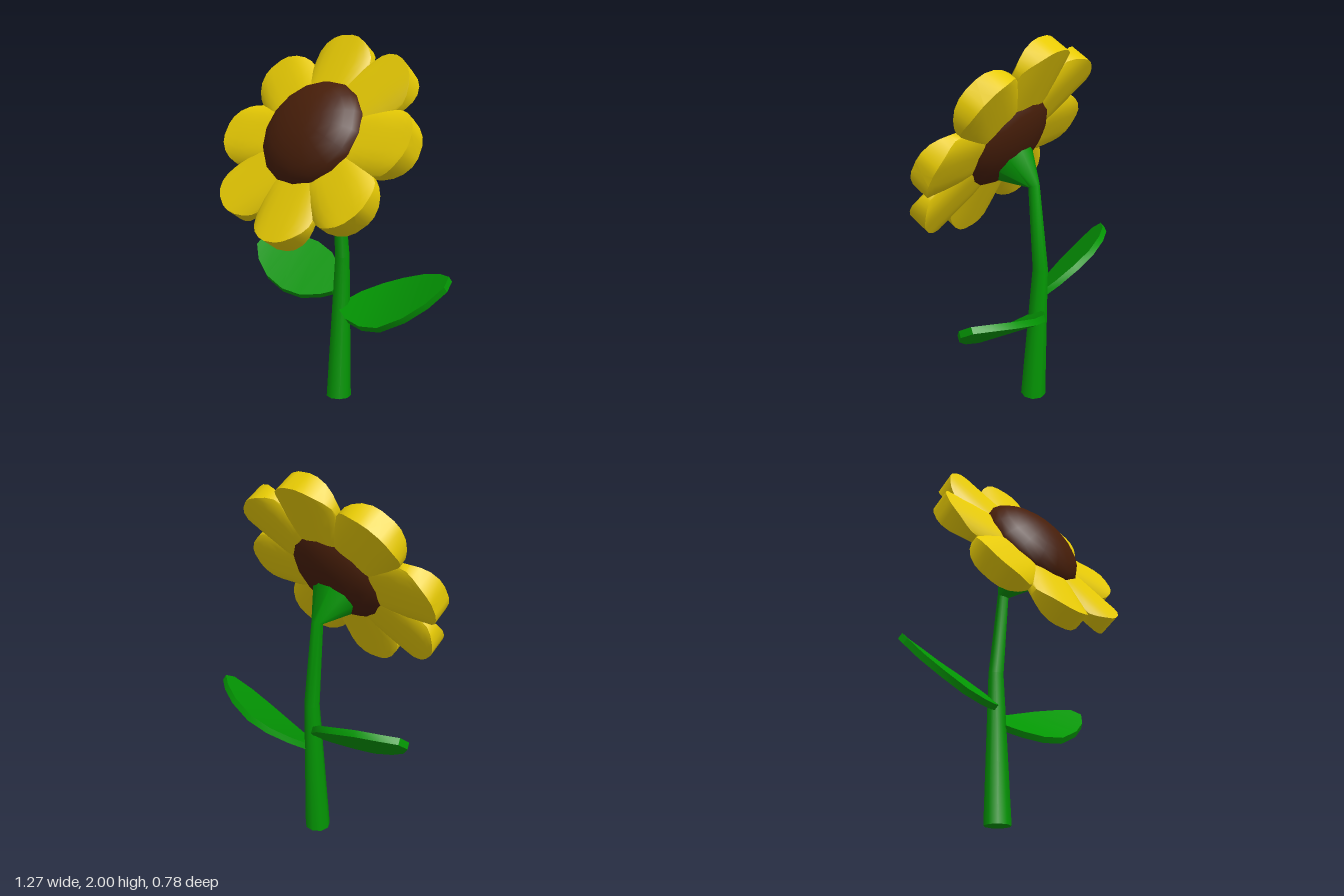
import * as THREE from 'three';
import { toCreasedNormals } from 'three/addons/utils/BufferGeometryUtils.js';

const V = (x, y, z) => new THREE.Vector3(x, y, z);

const material = (name, color) => {
  const m = new THREE.MeshStandardMaterial({ color });
  m.name = name;
  return m;
};

// Skin a closed solid over rings that run counter-clockwise around the direction of travel
function loft(rings, crease) {
  const out = [];
  const tri = (...pts) => pts.forEach((p) => out.push(p.x, p.y, p.z));
  const n = rings[0].length;
  const centre = (ring) => ring.reduce((s, p) => s.add(p), V(0, 0, 0)).divideScalar(n);
  const first = rings[0], last = rings[rings.length - 1];
  const c0 = centre(first), c1 = centre(last);
  for (let i = 0; i < n; i++) {
    const j = (i + 1) % n;
    for (let k = 0; k < rings.length - 1; k++) {
      const a = rings[k], b = rings[k + 1];
      tri(a[i], a[j], b[j]);
      tri(a[i], b[j], b[i]);
    }
    tri(c0, first[j], first[i]);
    tri(c1, last[i], last[j]);
  }
  const g = new THREE.BufferGeometry();
  g.setAttribute('position', new THREE.Float32BufferAttribute(out, 3));
  return toCreasedNormals(g, crease);
}

// Tapered stem that bends forward and flares into the flower base
function stemGeometry() {
  // y, z, radius, forward tilt
  const sections = [
    [0, -0.175, 0.07, 0], [0.8, -0.206, 0.041, 0.03],
    [1.25, -0.158, 0.031, 0.4], [1.35, -0.04, 0.125, 1.05],
  ];
  const sides = 9;
  return loft(sections.map(([y, z, r, tilt]) => Array.from({ length: sides }, (_, i) => {
    const a = (i / sides) * Math.PI * 2;
    return V(Math.sin(a) * r, 0, Math.cos(a) * r)
      .applyAxisAngle(V(1, 0, 0), tilt).add(V(-0.022, y, z));
  })), 0.9);
}

// Petal pointing along +y: a thick pad whose sides round off, with a blunt curved tip
function petalGeometry() {
  // distance from flower centre, half width
  const sections = [
    [0.16, 0.07], [0.3, 0.127], [0.38, 0.164], [0.435, 0.183], [0.48, 0.178],
    [0.52, 0.159], [0.557, 0.125], [0.586, 0.08], [0.599, 0.035],
  ];
  const steps = 10;
  return loft(sections.map(([r, w]) => {
    const front = [], back = [];
    for (let i = 0; i <= steps; i++) {
      const x = w * Math.sin((i / steps - 0.5) * Math.PI);
      const z = 0.058 * (1 - 0.75 * (x / 0.185) ** 4);
      front.push(V(x, r, z));
      back.unshift(V(x, r, -z));
    }
    return [...front, ...back];
  }), 0.9);
}

// Thin leaf: centreline points with half widths, spread along the direction "across"
function leafGeometry(sections, across) {
  const [x0, y0, z0] = sections[0];
  const [x1, y1, z1] = sections[sections.length - 1];
  const along = V(x1 - x0, y1 - y0, z1 - z0).normalize();
  const w = across.clone().addScaledVector(along, -across.dot(along) * 0.5).normalize();
  const up = along.clone().cross(w).normalize().multiplyScalar(0.017);
  return loft(sections.map(([x, y, z, half]) =>
    [[1, -1], [1, 1], [-1, 1], [-1, -1]].map(([s, t]) =>
      V(x, y, z).addScaledVector(w, s * half).addScaledVector(up, t))), 0.6);
}

export function createModel() {
  const green = material('leaf green', 0x039503);
  const yellow = material('petal yellow', 0xe8cb04);
  const brown = material('seed brown', 0x471e09);

  const model = new THREE.Group();
  model.name = 'sunflower';
  const add = (parent, name, geometry, mat) => {
    const mesh = new THREE.Mesh(geometry, mat);
    mesh.name = name;
    parent.add(mesh);
    return mesh;
  };

  add(model, 'stem', stemGeometry(), green);

  // Leaves
  add(model, 'leftLeaf', leafGeometry([
    [0.0, 0.515, -0.19, 0.04], [0.07, 0.525, -0.2, 0.11], [0.18, 0.543, -0.212, 0.17],
    [0.3, 0.573, -0.217, 0.195], [0.44, 0.63, -0.22, 0.17], [0.55, 0.683, -0.22, 0.115],
    [0.628, 0.728, -0.225, 0.04],
  ], V(0, 0.22, -0.34)), green);
  add(model, 'rightLeaf', leafGeometry([
    [-0.05, 0.62, -0.19, 0.04], [-0.1, 0.64, -0.2, 0.1], [-0.2, 0.67, -0.205, 0.165],
    [-0.32, 0.705, -0.21, 0.187], [-0.45, 0.75, -0.21, 0.168], [-0.56, 0.79, -0.21, 0.11],
    [-0.628, 0.823, -0.21, 0.04],
  ], V(0, -0.27, 0.31)), green);

  // Flower head, leaning back by thirty degrees
  const head = new THREE.Group();
  head.name = 'flowerHead';
  head.position.set(-0.019, 1.454, 0.04);
  head.rotation.x = -Math.PI / 6;
  model.add(head);

  const petal = petalGeometry();
  for (let i = 0; i < 8; i++) {
    add(head, `petal${i + 1}`, petal, yellow).rotation.z = (i * Math.PI) / 4 - 0.035;
  }

  // Seed disc: a flattened ball
  const disc = new THREE.SphereGeometry(1, 16, 14).rotateX(Math.PI / 2).scale(0.306, 0.306, 0.162);
  add(head, 'seedDisc', disc, brown).position.set(0.003, 0.015, 0.023);

  return model;
}
